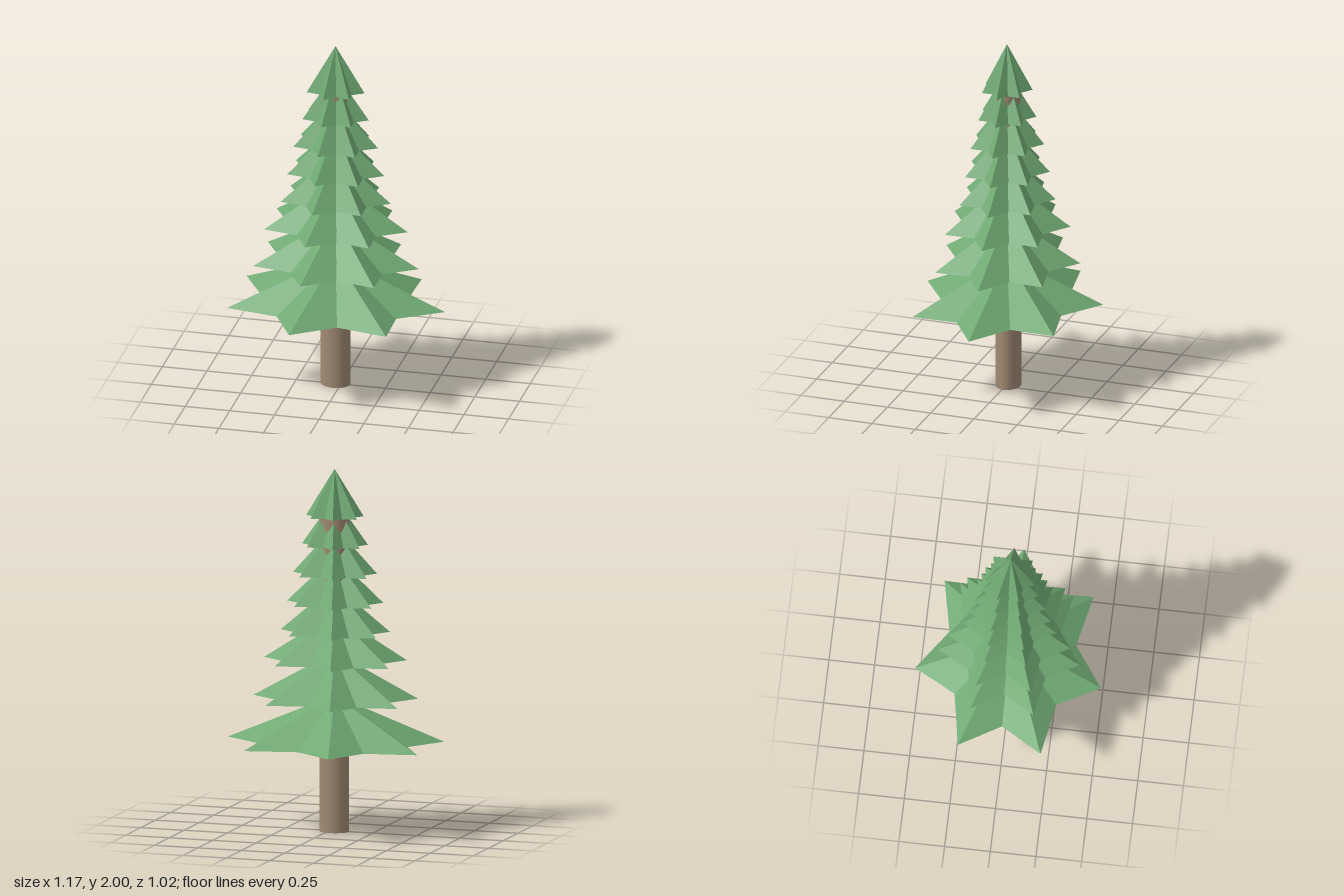
import * as THREE from 'three';

const POINTS = 7;          // star tips per tier
const NOTCH = 0.682;       // inner radius relative to tip radius
const DEPTH = 0.85;        // tree is slightly narrower front to back
const TIER_HEIGHT = 0.264;

// Cone whose rim is a star: every second rim vertex is pulled inwards
function starCone() {
  const geo = new THREE.ConeGeometry(1, TIER_HEIGHT, POINTS * 2, 1, false, Math.PI / 2);
  geo.translate(0, TIER_HEIGHT / 2, 0);
  const pos = geo.attributes.position;
  for (let i = 0; i < pos.count; i++) {
    const x = pos.getX(i), z = pos.getZ(i);
    if (Math.hypot(x, z) < 0.01) continue;
    const step = Math.round(Math.atan2(z, x) / (Math.PI / POINTS));
    if (step % 2 !== 0) {
      pos.setX(i, x * NOTCH);
      pos.setZ(i, z * NOTCH);
    }
  }
  const flat = geo.toNonIndexed();
  flat.computeVertexNormals();
  return flat;
}

export function createModel() {
  const tree = new THREE.Group();
  tree.name = 'pineTree';

  const bark = new THREE.MeshStandardMaterial({ color: 0xa08b74 });
  const needles = new THREE.MeshStandardMaterial({ color: 0x6fa973, flatShading: true });

  // Trunk: straight oval post running up inside the tiers
  const trunk = new THREE.Mesh(new THREE.CylinderGeometry(0.082, 0.082, 1.76, 32), bark);
  trunk.name = 'trunk';
  trunk.scale.z = DEPTH;
  trunk.position.set(-0.031, 0.88, -0.008);
  tree.add(trunk);

  // Branch tiers: [base height, tip radius], bottom to top
  const tiers = [
    [0.486, 0.614], [0.725, 0.467], [0.938, 0.405], [1.096, 0.31],
    [1.257, 0.273], [1.418, 0.238], [1.578, 0.187], [1.736, 0.163],
  ];
  const cone = starCone();
  tiers.forEach(([y, radius], i) => {
    const tier = new THREE.Mesh(cone, needles);
    tier.name = `branchTier${i + 1}`;
    tier.scale.set(radius, 1, radius * DEPTH);
    tier.position.set(-0.03, y, 0);
    tree.add(tier);
  });

  return tree;
}
